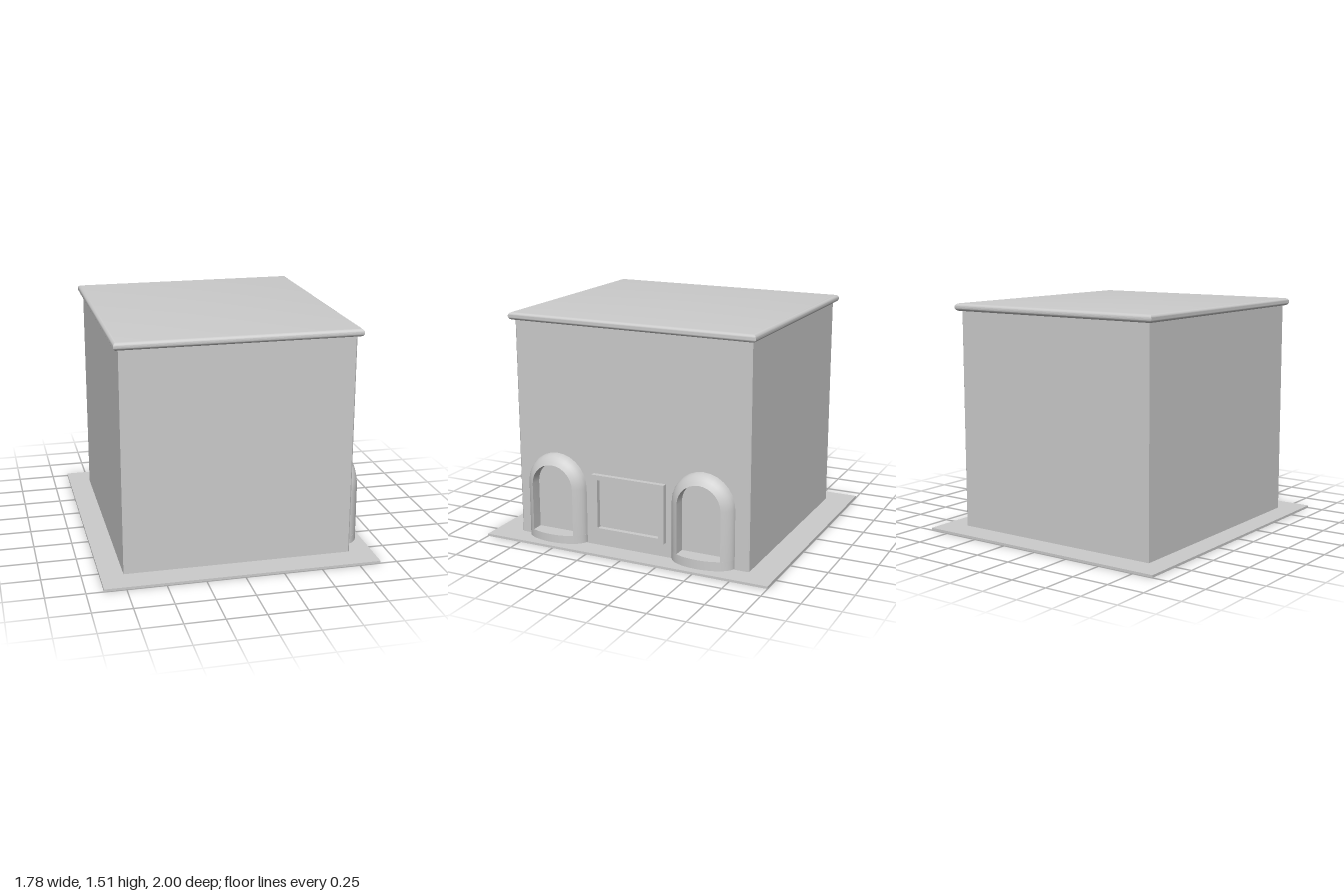
import * as THREE from 'three';
import { toCreasedNormals } from 'three/addons/utils/BufferGeometryUtils.js';

const material = new THREE.MeshStandardMaterial({ color: 0xcccccc, side: THREE.DoubleSide });

function part(name, geometry, x = 0, y = 0, z = 0) {
  const mesh = new THREE.Mesh(geometry, material);
  mesh.name = name;
  mesh.position.set(x, y, z);
  return mesh;
}

const box = (w, h, d) => new THREE.BoxGeometry(w, h, d);

// Half-elliptical plan shared by the sill and the arch surround
const R = 0.212, INNER = 0.148, DEPTH = 0.11, BACK = 0.755, FOOT = 0.03;

// Surround: quarter-round section swept up one leg, over the arch, down the other
function archSurround(springY, sillY) {
  const section = [];
  const end = Math.acos(INNER / R);
  for (let i = 0; i <= 6; i++) {
    const a = (end * i) / 6;
    section.push([R * Math.cos(a), DEPTH * Math.sin(a)]);
  }
  section.push([INNER, 0], [R, 0]);

  const stations = [[0, sillY]];
  const arcSteps = 14;
  for (let i = 0; i <= arcSteps; i++) stations.push([(Math.PI * i) / arcSteps, springY]);
  stations.push([Math.PI, sillY]);

  const positions = [], index = [], n = section.length;
  for (const [a, y] of stations) {
    for (const [r, x] of section) positions.push(x, y + r * Math.sin(a), r * Math.cos(a));
  }
  for (let i = 0; i < stations.length - 1; i++) {
    for (let j = 0; j < n - 1; j++) {
      const p = i * n + j, q = p + n;
      index.push(p, p + 1, q, p + 1, q + 1, q);
    }
  }
  const g = new THREE.BufferGeometry();
  g.setAttribute('position', new THREE.Float32BufferAttribute(positions, 3));
  g.setIndex(index);
  return toCreasedNormals(g, 0.6);
}

// Bowed sill at the foot of each arch
function sillGeometry(height) {
  const shape = new THREE.Shape();
  shape.absellipse(0, 0, DEPTH, R, -Math.PI / 2, Math.PI / 2, false, 0);
  shape.closePath();
  const g = new THREE.ExtrudeGeometry(shape, { depth: height, bevelEnabled: false, curveSegments: 20 });
  g.rotateX(-Math.PI / 2);
  return toCreasedNormals(g, 0.6);
}

function archedNiche(name, z, springY, sillY) {
  const group = new THREE.Group();
  group.name = name;
  group.add(part('archSurround', archSurround(springY, sillY)));
  group.add(part('sill', sillGeometry(sillY - FOOT), 0, FOOT, 0));
  group.position.set(BACK, 0, z);
  return group;
}

// Rectangular frame with an opening, facing +x
function windowFrame(w, h, border, depth) {
  const rect = (T, a, b) => new T([[-a, -b], [a, -b], [a, b], [-a, b]].map(p => new THREE.Vector2(...p)));
  const shape = rect(THREE.Shape, w / 2, h / 2);
  shape.holes.push(rect(THREE.Path, w / 2 - border, h / 2 - border * 0.8));
  const g = new THREE.ExtrudeGeometry(shape, { depth, bevelEnabled: false });
  return g.rotateY(Math.PI / 2);
}

// Roof slab: half-round edge with mitred corners
function roofSlab(halfX, halfZ, thickness) {
  const r = thickness / 2;
  const profile = [new THREE.Vector2(0, -r)];
  for (let i = 0; i <= 10; i++) {
    const a = -Math.PI / 2 + (Math.PI * i) / 10;
    profile.push(new THREE.Vector2((1 - r / halfZ + (r / halfZ) * Math.cos(a)) * Math.SQRT2, r * Math.sin(a)));
  }
  profile.push(new THREE.Vector2(0, r));
  const g = new THREE.LatheGeometry(profile, 4, Math.PI / 4);
  g.scale(halfX, 1, halfZ);
  return toCreasedNormals(g, 0.6);
}

// Walls with slightly eased corners on the niche side
function wallBlock(x, z, height, ease) {
  const shape = new THREE.Shape([
    [-x, -z], [x - ease, -z], [x, -z + ease], [x, z - ease], [x - ease, z], [-x, z],
  ].map(p => new THREE.Vector2(...p)));
  const g = new THREE.ExtrudeGeometry(shape, { depth: height, bevelEnabled: false });
  return g.rotateX(-Math.PI / 2);
}

export function createModel() {
  const model = new THREE.Group();
  model.name = 'building';
  model.add(part('groundSlab', box(1.78, 0.016, 2), 0, 0.008, 0));
  model.add(part('walls', wallBlock(0.742, 0.82, 1.464, 0.008), 0, 0.016, 0));
  model.add(part('roof', roofSlab(0.775, 0.852, 0.05), 0, 1.485, 0));
  model.add(archedNiche('frontNiche', 0.522, 0.398, 0.084));
  model.add(archedNiche('backNiche', -0.518, 0.413, 0.09));
  model.add(part('windowFrame', windowFrame(0.515, 0.39, 0.04, 0.033), 0.745, 0.31, 0.003));
  return model;
}
